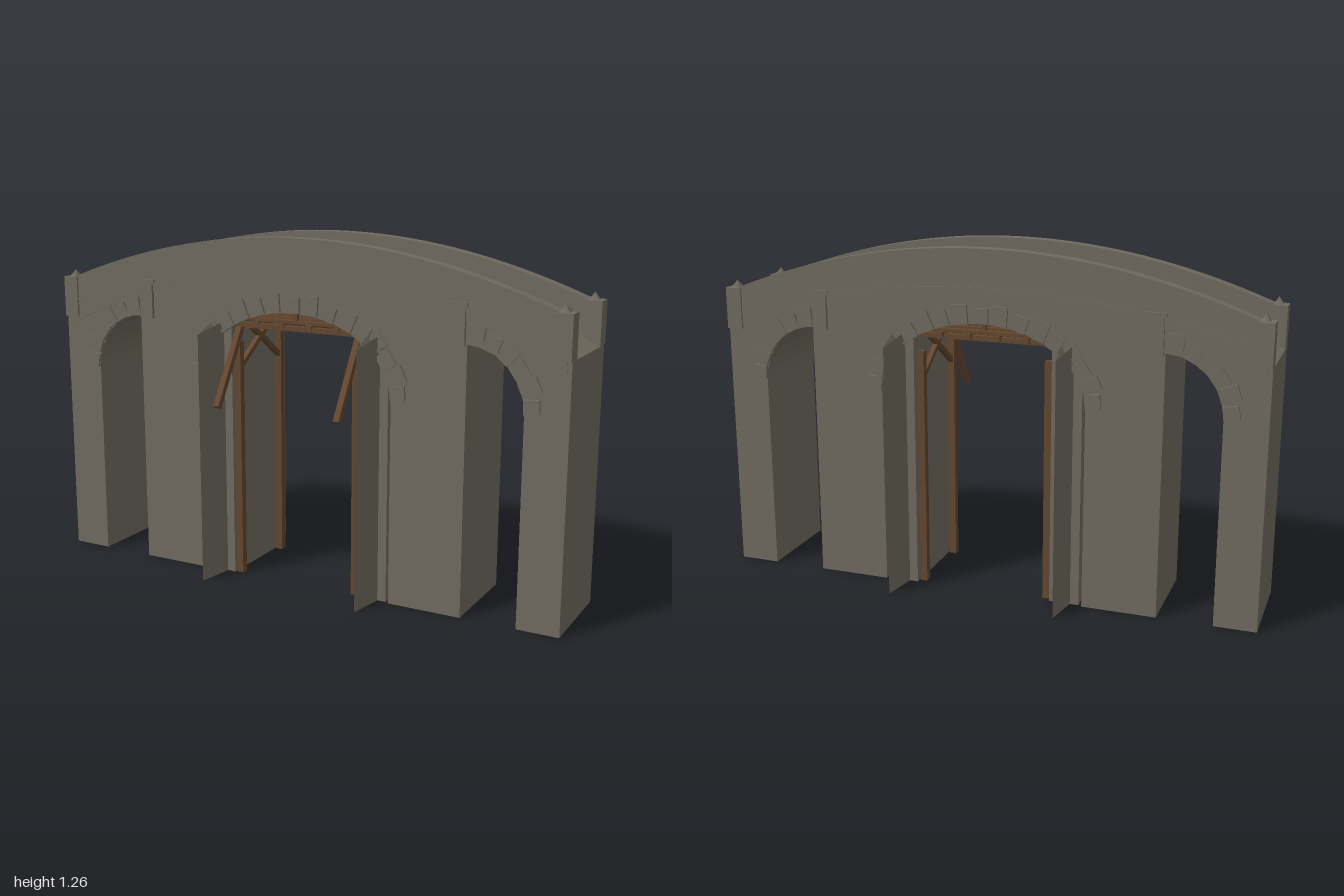
import * as THREE from 'three';

const stone = new THREE.MeshStandardMaterial({ color: 0x716b60, side: THREE.DoubleSide });
stone.name = 'stone';
const wood = new THREE.MeshStandardMaterial({ color: 0x64472f, side: THREE.DoubleSide });
wood.name = 'wood';

const deckY = x => 1.165 - 0.245 * x * x;
const railY = x => 1.26 - 0.205 * x * x;
const bandY = x => 1.115 - 0.15 * x * x;

function add(parent, name, geometry, material, x = 0, y = 0, z = 0) {
  const mesh = new THREE.Mesh(geometry, material);
  mesh.name = name;
  mesh.position.set(x, y, z);
  parent.add(mesh);
  return mesh;
}

const box = (parent, name, mat, w, h, d, x, y, z) =>
  add(parent, name, new THREE.BoxGeometry(w, h, d), mat, x, y, z);

// Square timber between two points
function timber(parent, name, a, b, t) {
  const from = new THREE.Vector3(...a), to = new THREE.Vector3(...b);
  const dir = to.clone().sub(from);
  const mesh = add(parent, name, new THREE.BoxGeometry(t, dir.length(), t), wood);
  mesh.position.copy(from).add(to).multiplyScalar(0.5);
  mesh.quaternion.setFromUnitVectors(new THREE.Vector3(0, 1, 0), dir.normalize());
}

// Points along an ellipse, angles in radians
function arc(cx, cy, rx, ry, a0, a1, n) {
  return Array.from({ length: n + 1 }, (_, i) => {
    const a = a0 + (a1 - a0) * i / n;
    return new THREE.Vector2(cx + rx * Math.cos(a), cy + ry * Math.sin(a));
  });
}

// Walls around an outline (counter-clockwise), left open where it touches the ground
function wallStrip(points, depth) {
  const pos = [];
  points.forEach((p, i) => {
    const q = points[(i + 1) % points.length];
    if (p.y === 0 && q.y === 0) return;
    const d = depth;
    pos.push(p.x, p.y, d, p.x, p.y, -d, q.x, q.y, -d);
    pos.push(p.x, p.y, d, q.x, q.y, -d, q.x, q.y, d);
  });
  const g = new THREE.BufferGeometry();
  g.setAttribute('position', new THREE.Float32BufferAttribute(pos, 3));
  g.computeVertexNormals();
  return g;
}

// Solid band between two height curves
function curvedBand(low, high, x1, depth) {
  const n = 40, pts = [];
  for (let i = 0; i <= n; i++) { const x = -x1 + 2 * x1 * i / n; pts.push(new THREE.Vector2(x, low(x))); }
  for (let i = n; i >= 0; i--) { const x = -x1 + 2 * x1 * i / n; pts.push(new THREE.Vector2(x, high(x))); }
  return new THREE.ExtrudeGeometry(new THREE.Shape(pts), { depth, bevelEnabled: false });
}

// Ring of uneven stones along an ellipse, on both faces
function archStones(parent, cx, cy, rx, ry, a0, a1, n) {
  for (const side of [1, -1]) {
    for (let i = 0; i < n; i++) {
      const a = a0 + (a1 - a0) * (i + 0.5) / n;
      const nx = Math.cos(a) / rx, ny = Math.sin(a) / ry;
      const out = 0.028 + (i % 2) * 0.007;
      const len = Math.hypot(nx, ny);
      const mesh = box(parent, 'archStone', stone, 0.055 + (i % 2) * 0.014, 0.05 + (i % 3) * 0.005, 0.016,
        cx + rx * Math.cos(a) + nx / len * out, cy + ry * Math.sin(a) + ny / len * out, side * 0.179);
      mesh.rotation.z = Math.atan2(ny, nx) + ((i * 5) % 3 - 1) * 0.06;
    }
  }
}

export function createModel() {
  const bridge = new THREE.Group();
  bridge.name = 'bridge';
  const v = (x, y) => new THREE.Vector2(x, y);

  // Body with a wide middle arch and two half arches
  const outline = [
    v(-1, 0), v(-0.85, 0), ...arc(-0.65, 0.73, 0.2, 0.215, Math.PI, Math.PI / 2, 8), v(-0.65, 0),
    v(-0.38, 0), ...arc(0, 0.73, 0.38, 0.27, Math.PI, 0, 20), v(0.38, 0),
    v(0.65, 0), ...arc(0.65, 0.73, 0.2, 0.215, Math.PI / 2, 0, 8), v(0.85, 0), v(1, 0),
  ];
  for (let i = 0; i <= 40; i++) { const x = 1 - i / 20; outline.push(v(x, deckY(x))); }
  add(bridge, 'bodyWalls', wallStrip(outline, 0.178), stone);
  const face = new THREE.ShapeGeometry(new THREE.Shape(outline));
  add(bridge, 'frontFace', face, stone, 0, 0, 0.178);
  add(bridge, 'backFace', face, stone, 0, 0, -0.178).rotation.y = Math.PI;

  // Parapets and string course on both sides
  const parapet = curvedBand(x => deckY(x) - 0.04, railY, 0.985, 0.05);
  const course = curvedBand(bandY, x => bandY(x) + 0.012, 0.94, 0.008);
  for (const s of [1, -1]) {
    add(bridge, 'parapet', parapet, stone, 0, 0, s > 0 ? 0.132 : -0.182);
    add(bridge, 'stringCourse', course, stone, 0, 0, s > 0 ? 0.178 : -0.186);
  }

  // Corner posts and wall pilasters
  for (const sx of [1, -1]) for (const sz of [1, -1]) {
    box(bridge, 'cornerPost', stone, 0.06, 0.1, 0.06, sx * 0.97, 0.97, sz * 0.16);
    box(bridge, 'cornerPostCap', stone, 0.06, 0.052, 0.06, sx * 0.97, 1.046, sz * 0.16);
    const tip = add(bridge, 'cornerPostTip', new THREE.ConeGeometry(0.024, 0.028, 4), stone,
      sx * 0.966, 1.085, sz * 0.16);
    tip.rotation.y = Math.PI / 4;
    box(bridge, 'pilaster', stone, 0.055, 0.13, 0.016, sx * 0.617, 1.005, sz * 0.182);
    box(bridge, 'pilasterCap', stone, 0.07, 0.015, 0.02, sx * 0.617, 1.075, sz * 0.18);
  }

  // Stones round the arches
  archStones(bridge, 0, 0.73, 0.38, 0.27, 0, Math.PI, 17);
  archStones(bridge, 0.65, 0.73, 0.2, 0.215, 0, Math.PI / 2, 6);
  archStones(bridge, -0.65, 0.73, 0.2, 0.215, Math.PI, Math.PI / 2, 6);

  // Inner piers with pointed cutwaters
  const pierOutline = [v(-0.055, 0), v(0.055, 0), v(0.055, 0.93), v(-0.055, 0.93)];
  const diamond = [v(0, -0.305), v(0.052, 0), v(0, 0.305), v(-0.052, 0)];
  for (const s of [1, -1]) {
    add(bridge, 'innerPier', wallStrip(pierOutline, 0.17), stone, s * 0.312, 0, 0);
    for (const z of [1, -1]) {
      const plate = add(bridge, 'innerPierFace', new THREE.PlaneGeometry(0.11, 0.93), stone, s * 0.312, 0.465, z * 0.17);
      if (z < 0) plate.rotation.y = Math.PI;
    }
    const cutwater = new THREE.ExtrudeGeometry(new THREE.Shape(diamond), { depth: 1, bevelEnabled: false });
    cutwater.rotateX(-Math.PI / 2);
    const p = cutwater.attributes.position;
    for (let i = 0; i < p.count; i++)
      if (p.getY(i) > 0.5) p.setY(i, 0.99 - 0.24 * Math.abs(p.getZ(i)));
    cutwater.computeVertexNormals();
    add(bridge, 'cutwater', cutwater, stone, s * 0.312, 0.001, 0);
    const base = add(bridge, 'cutwaterBase', new THREE.ShapeGeometry(new THREE.Shape(diamond)), wood, s * 0.312, 0, 0);
    base.rotation.x = Math.PI / 2;
  }

  // Timber centering under the middle arch
  const frame = new THREE.Group();
  frame.name = 'timberFrame';
  bridge.add(frame);
  for (const s of [1, -1]) {
    const x = s * 0.239;
    for (const z of [0.15, -0.14]) box(frame, 'post', wood, 0.026, 0.88, 0.026, x, 0.44, z);
    timber(frame, 'brace', [x, 0.78, -0.14], [x, 0.92, 0.06], 0.018);
    timber(frame, 'brace', [x, 0.78, 0.15], [x, 0.92, -0.06], 0.018);
    timber(frame, 'looseStrut', [x, 0.95, 0.125], [x, 0.663, 0.3], 0.022);
  }
  for (let i = 0; i < 6; i++) box(frame, 'slat', wood, 0.4, 0.012, 0.022, 0, 0.965, -0.15 + i * 0.06);
  for (const x of [-0.16, -0.055, 0.055, 0.16]) box(frame, 'joist', wood, 0.022, 0.02, 0.33, x, 0.948, 0);
  for (const z of [0.15, -0.14]) {
    box(frame, 'crossBeam', wood, 0.46, 0.018, 0.022, 0, 0.942, z);
    box(frame, 'kingPost', wood, 0.014, 0.04, 0.014, 0, 0.98, z);
  }
  return bridge;
}
